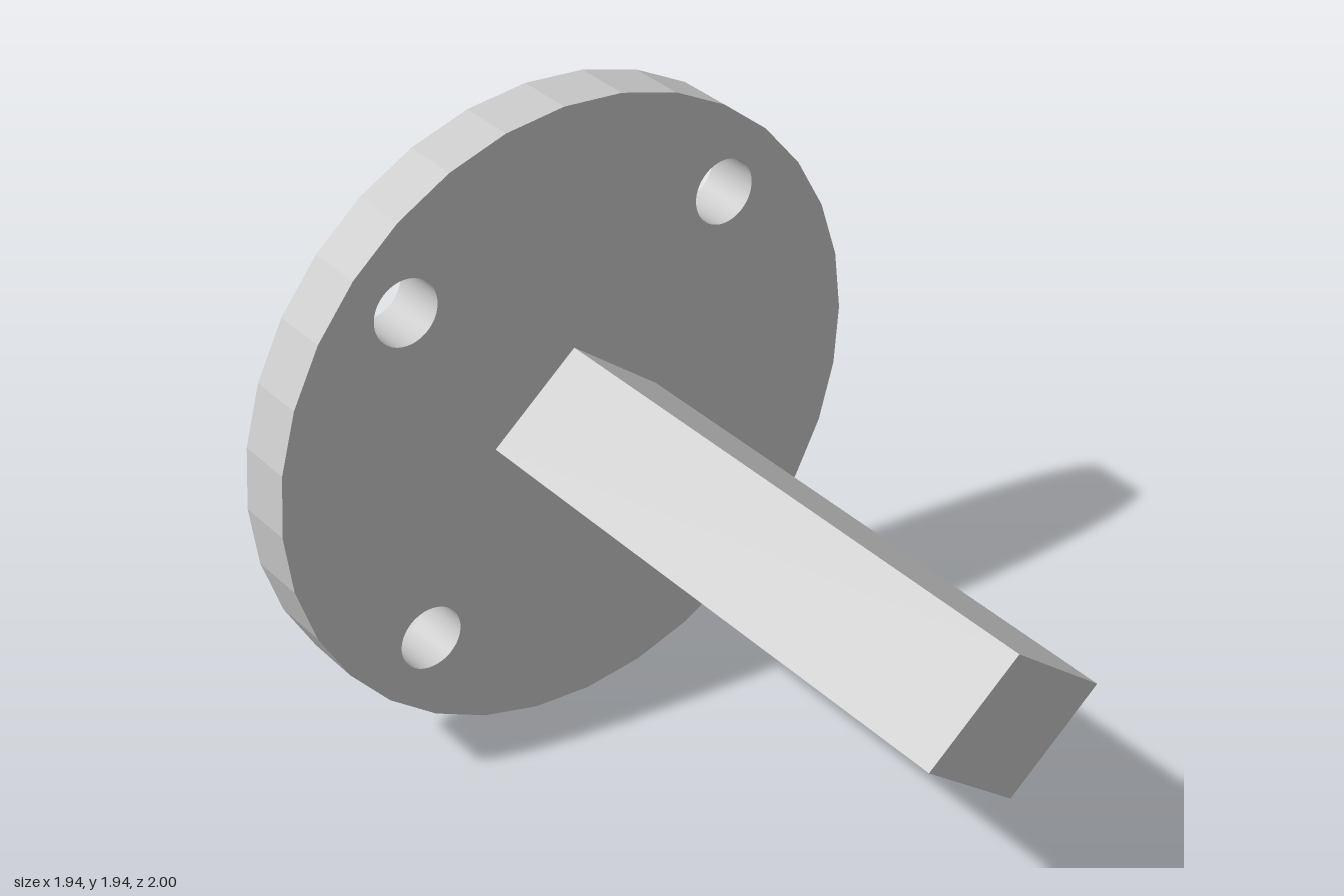
import * as THREE from 'three';

const CENTER_Y = 0.97;

// Extrudes a shape along z between two depths, centred on the flange axis
function extrudePart(name, shape, zBack, zFront, curveSegments = 1) {
  const geometry = new THREE.ExtrudeGeometry(shape, {
    depth: zFront - zBack, bevelEnabled: false, curveSegments,
  });
  geometry.translate(0, CENTER_Y, zBack);
  const mesh = new THREE.Mesh(
    geometry,
    new THREE.MeshStandardMaterial({ color: 0xcccccc, flatShading: true }),
  );
  mesh.name = name;
  return mesh;
}

// Regular polygon outline with the given radii and number of sides
function polygon(rx, ry, sides) {
  const points = [];
  for (let i = 0; i < sides; i++) {
    const a = (i / sides) * Math.PI * 2;
    points.push(new THREE.Vector2(rx * Math.cos(a), ry * Math.sin(a)));
  }
  return new THREE.Shape(points);
}

export function createModel() {
  const model = new THREE.Group();
  model.name = 'flangedShaft';

  // Round mounting flange with four bolt holes
  const disc = polygon(0.97, 0.97, 32);
  for (const x of [-0.535, 0.535]) {
    for (const y of [-0.535, 0.535]) {
      disc.holes.push(new THREE.Path().absarc(x, y, 0.1, 0, Math.PI * 2, true));
    }
  }
  model.add(extrudePart('flange', disc, -1, -0.82, 48));

  // Diamond-section shaft standing on the front of the flange
  model.add(extrudePart('shaft', polygon(0.28, 0.225, 4), -0.82, 1));

  return model;
}
